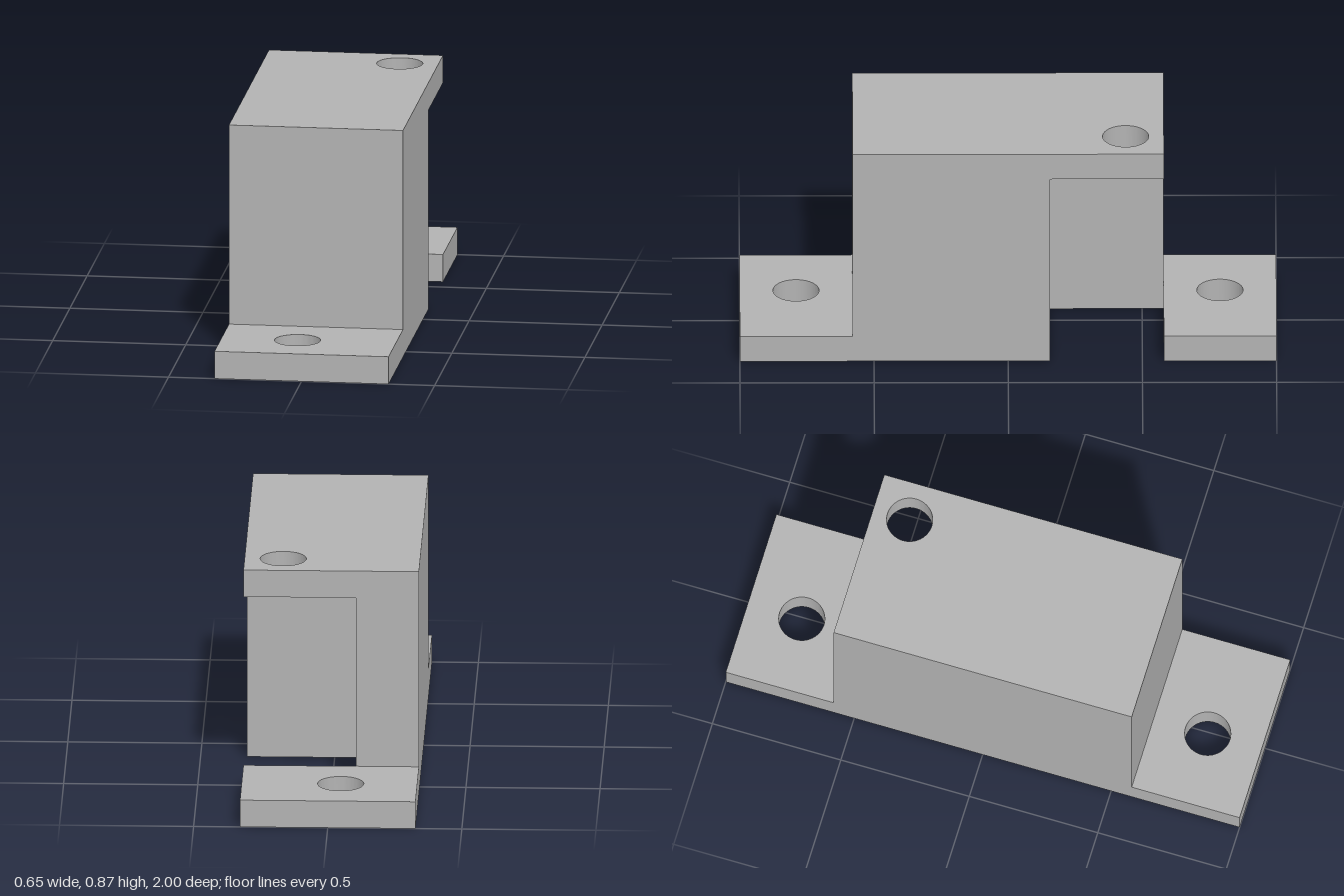
import * as THREE from 'three';
import { toCreasedNormals } from 'three/addons/utils/BufferGeometryUtils.js';

const HALF_W = 0.327;   // half width in x
const BLOCK_Z = 0.58;   // half depth of the raised block
const FOOT_H = 0.105;   // thickness of the feet
const CAP_Y = 0.765;    // underside of the top plate
const TOP_Y = 0.87;
const HOLE_R = 0.086;

// Upright prism from a plan outline of [x, z] points, with optional round holes
function prism(name, material, outline, y0, y1, holes = []) {
  const shape = new THREE.Shape(outline.map(([x, z]) => new THREE.Vector2(x, -z)));
  for (const [x, z] of holes) {
    shape.holes.push(new THREE.Path().absarc(x, -z, HOLE_R, 0, Math.PI * 2, true));
  }
  const extruded = new THREE.ExtrudeGeometry(shape, {
    depth: y1 - y0, bevelEnabled: false, curveSegments: 40,
  });
  extruded.rotateX(-Math.PI / 2).translate(0, y0, 0);
  const mesh = new THREE.Mesh(toCreasedNormals(extruded, 0.5), material);
  mesh.name = name;
  return mesh;
}

const rect = (z0, z1) => [[-HALF_W, z0], [-HALF_W, z1], [HALF_W, z1], [HALF_W, z0]];

export function createModel() {
  const group = new THREE.Group();
  group.name = 'mountingBracket';
  const grey = new THREE.MeshStandardMaterial({ color: 0xb2b2b2 });
  grey.name = 'plain grey';

  // Drilled feet at both ends
  group.add(prism('frontFoot', grey, rect(BLOCK_Z, 1), 0, FOOT_H, [[-0.042, 0.79]]));
  group.add(prism('backFoot', grey, rect(-1, -BLOCK_Z), 0, FOOT_H, [[-0.042, -0.79]]));

  // L-shaped block: its back left corner is cut away down through the base
  const notchX = -0.092, notchZ = -0.156;
  group.add(prism('block', grey, [
    [-HALF_W, -BLOCK_Z], [-HALF_W, BLOCK_Z], [HALF_W, BLOCK_Z],
    [HALF_W, notchZ], [notchX, notchZ], [notchX, -BLOCK_Z],
  ], 0, CAP_Y));

  // Top plate overhanging the cutaway, with its own hole
  group.add(prism('topPlate', grey, rect(-BLOCK_Z, BLOCK_Z), CAP_Y, TOP_Y, [[0.183, -0.438]]));

  return group;
}
